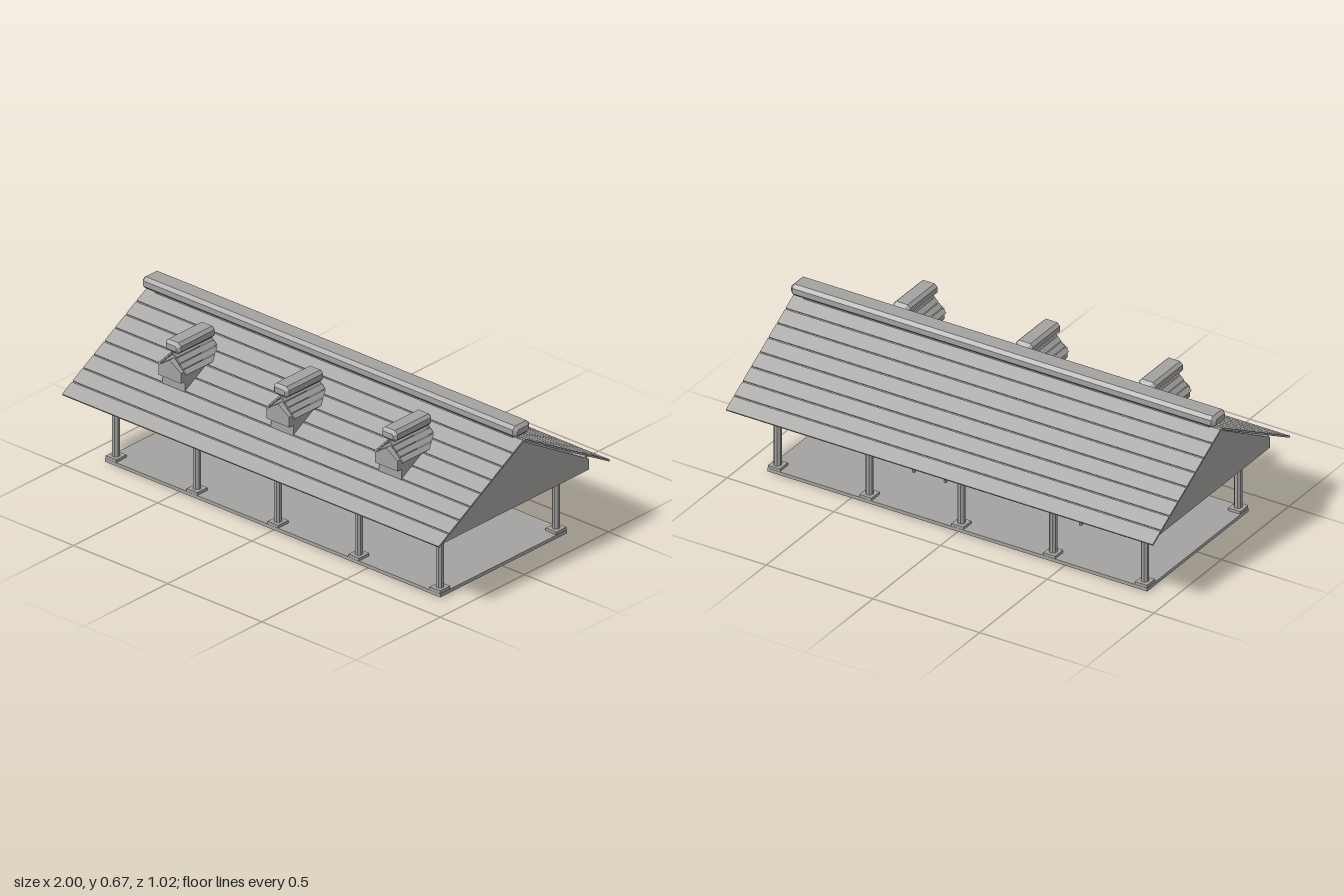
import * as THREE from 'three';
import { RoundedBoxGeometry } from 'three/addons/geometries/RoundedBoxGeometry.js';

const mat = new THREE.MeshStandardMaterial({ color: 0xa4a3a1, flatShading: true, side: THREE.DoubleSide });

function add(parent, name, geo, x = 0, y = 0, z = 0) {
  const m = new THREE.Mesh(geo, mat);
  m.name = name;
  m.position.set(x, y, z);
  parent.add(m);
  return m;
}
const box = (parent, name, w, h, d, x, y, z) => add(parent, name, new THREE.BoxGeometry(w, h, d), x, y, z);
const group = (parent, name, x = 0, y = 0, z = 0) => {
  const g = new THREE.Group();
  g.name = name;
  g.position.set(x, y, z);
  parent.add(g);
  return g;
};
const shape = pts => new THREE.Shape(pts.map(p => new THREE.Vector2(...p)));
const extrude = (pts, depth) => new THREE.ExtrudeGeometry(shape(pts), { depth, bevelEnabled: false });

// Octagonal bar along z with chamfered ends, centred on the origin
function chamferBar(w, h, d, c) {
  const a = w / 2, b = h / 2;
  const outline = [[a, -b + c], [a, b - c], [a - c, b], [-a + c, b], [-a, b - c], [-a, -b + c], [-a + c, -b], [a - c, -b]];
  return new THREE.ExtrudeGeometry(shape(outline), {
    depth: d - 2 * c, bevelSize: c, bevelOffset: -c, bevelThickness: c, bevelSegments: 1,
  }).translate(0, 0, c - d / 2);
}

// Square beam between two points
function beam(parent, name, a, b, t) {
  const p = new THREE.Vector3(...a), q = new THREE.Vector3(...b);
  const m = box(parent, name, t, t, p.distanceTo(q), ...p.clone().add(q).multiplyScalar(0.5).toArray());
  m.quaternion.setFromUnitVectors(new THREE.Vector3(0, 0, 1), q.sub(p).normalize());
}

// Spaced boards along x on a thin underlay, descending from the ridge towards +z
function boards(parent, name, len, run, drop, count, gap) {
  const length = Math.hypot(run, drop), step = length / count;
  const side = group(parent, name);
  side.rotation.x = Math.atan2(drop, run);
  box(side, 'underlay', len, 0.003, length, 0, -0.0015, length / 2);
  for (let i = 0; i < count; i++) {
    box(side, 'board', len, 0.005, step - gap, 0, 0.0025, (i + 0.5) * step + gap / 2);
  }
}

// Main roof: two boarded slopes, gables and ridge cap
function addRoof(model) {
  const roof = group(model, 'roof', 0, 0.597, 0);
  for (const turn of [0, Math.PI]) {
    const half = group(roof, turn ? 'backSlope' : 'frontSlope');
    half.rotation.y = turn;
    boards(half, 'roofBoards', 2, 0.507, 0.284, 8, 0.006);
  }
  const outline = [[-0.44, 0.283], [0.44, 0.283], [0.44, 0.33], [0, 0.584], [-0.44, 0.33]];
  for (const x of [-0.95, 0.9]) {
    add(model, 'gable', extrude(outline, 0.05), x, 0, 0).rotation.y = Math.PI / 2;
  }
  box(model, 'ridgeBoard', 1.9, 0.05, 0.026, 0, 0.6, 0);
  add(model, 'ridgeCap', chamferBar(0.096, 0.052, 1.99, 0.014), 0, 0.64, 0).rotation.y = Math.PI / 2;
}

// Small dormer with its own boarded roof and cap
function addDormer(model, x) {
  const d = group(model, 'dormer', x, 0, 0);
  const body = [[-0.06, 0.41], [0.06, 0.41], [0.06, 0.515], [0, 0.57], [-0.06, 0.515]];
  add(d, 'dormerBody', extrude(body, 0.2), 0, 0, 0.12);
  const face = [[-0.06, 0.465], [0.06, 0.465], [0.06, 0.51], [0, 0.55], [-0.06, 0.51]];
  add(d, 'dormerFront', extrude(face, 0.025), 0, 0, 0.32);
  for (const s of [1, -1]) {
    const half = group(d, 'dormerRoof', 0, 0.578, 0.22);
    half.rotation.y = s * Math.PI / 2;
    boards(half, 'dormerBoards', 0.22, 0.074, 0.077, 4, 0.003);
  }
  add(d, 'dormerCap', chamferBar(0.08, 0.05, 0.226, 0.013), 0, 0.602, 0.223);
}

// Posts, footings, plates, cross beams and braces
function addFrame(model) {
  const frame = group(model, 'frame');
  for (const x of [-0.86, -0.43, 0, 0.43, 0.86]) {
    for (const z of [-0.345, 0.345]) {
      const post = new THREE.CylinderGeometry(0.0165, 0.0165, 0.27, 8).rotateY(Math.PI / 8);
      add(frame, 'post', post, x, 0.163, z);
      box(frame, 'footing', 0.056, 0.026, 0.06, x, 0.018, z);
    }
    box(frame, 'crossBeam', 0.03, 0.028, 0.76, x, 0.3, 0);
  }
  for (const z of [-1, 1]) {
    box(frame, 'wallPlate', 1.8, 0.028, 0.03, 0, 0.302, z * 0.345);
    box(frame, 'eavePlate', 1.9, 0.03, 0.036, 0, 0.333, z * 0.41);
    for (const s of [-1, 1]) {
      beam(frame, 'brace', [s * 0.86, 0.238, z * 0.345], [s * 0.8, 0.293, z * 0.345], 0.016);
      beam(frame, 'brace', [s * 0.43, 0.238, z * 0.345], [s * 0.49, 0.293, z * 0.345], 0.016);
    }
  }
}

function addLantern(model, x) {
  const l = group(model, 'lantern', x, 0, 0);
  box(l, 'lanternBody', 0.034, 0.044, 0.032, 0, 0.223, 0);
  box(l, 'lanternWire', 0.004, 0.06, 0.004, 0, 0.27, 0);
  box(l, 'lanternArm', 0.06, 0.008, 0.01, Math.sign(x) * 0.02, 0.298, 0);
}

// Table on two panel legs with a low bench rail
function addTable(model, x, w) {
  const t = group(model, 'table', x, 0, -0.06);
  box(t, 'tableTop', w, 0.008, 0.084, 0, 0.087, 0);
  for (const s of [-1, 1]) {
    box(t, 'tableLeg', 0.008, 0.084, 0.076, s * w * 0.4, 0.042, 0);
  }
  box(t, 'bench', w, 0.007, 0.03, 0, 0.053, -0.03);
}

function addGoods(model) {
  // Barrel with hoops
  const barrel = group(model, 'barrel', -0.175, 0.018, 0.027);
  const staves = [[0, 0], [0.034, 0], [0.037, 0.025], [0.037, 0.067], [0.034, 0.092], [0, 0.092]];
  add(barrel, 'barrelBody', new THREE.LatheGeometry(staves.map(p => new THREE.Vector2(...p)), 12));
  for (const y of [0.023, 0.069]) {
    add(barrel, 'hoop', new THREE.CylinderGeometry(0.038, 0.038, 0.006, 12), 0, y, 0);
  }
  // Crate with framed, diagonally braced sides
  const crate = group(model, 'crate', -0.52, 0.047, -0.005);
  box(crate, 'crateBody', 0.094, 0.054, 0.084, 0, 0, 0);
  for (const s of [-1, 1]) {
    for (const y of [-0.024, 0.024]) {
      box(crate, 'crateRail', 0.1, 0.008, 0.006, 0, y, s * 0.043);
      box(crate, 'crateRail', 0.006, 0.008, 0.09, s * 0.047, y, 0);
    }
    beam(crate, 'crateBrace', [-0.042, -0.022, s * 0.042], [0.042, 0.022, s * 0.042], 0.006);
    beam(crate, 'crateBrace', [s * 0.047, -0.022, 0.038], [s * 0.047, 0.022, -0.038], 0.006);
  }
  // Tub
  add(model, 'tub', new THREE.CylinderGeometry(0.047, 0.043, 0.05, 12), 0.55, 0.043, 0);
  add(model, 'tubRim', new THREE.CylinderGeometry(0.049, 0.049, 0.008, 12), 0.55, 0.071, 0);
  // Sacks
  for (const [x, z, r] of [[0.23, 0.02, 0], [0.285, 0.025, 0.4]]) {
    const s = add(model, 'sack', new RoundedBoxGeometry(0.055, 0.036, 0.045, 1, 0.01), x, 0.036, z);
    s.rotation.y = r;
  }
}

export function createModel() {
  const model = new THREE.Group();
  model.name = 'marketPavilion';
  box(model, 'floor', 1.78, 0.015, 0.752, 0, 0.0115, 0);
  addFrame(model);
  addRoof(model);
  for (const x of [-0.575, 0, 0.575]) addDormer(model, x);
  for (const x of [-0.38, 0.38]) addLantern(model, x);
  addTable(model, -0.335, 0.165);
  addTable(model, 0.308, 0.185);
  addGoods(model);
  return model;
}
